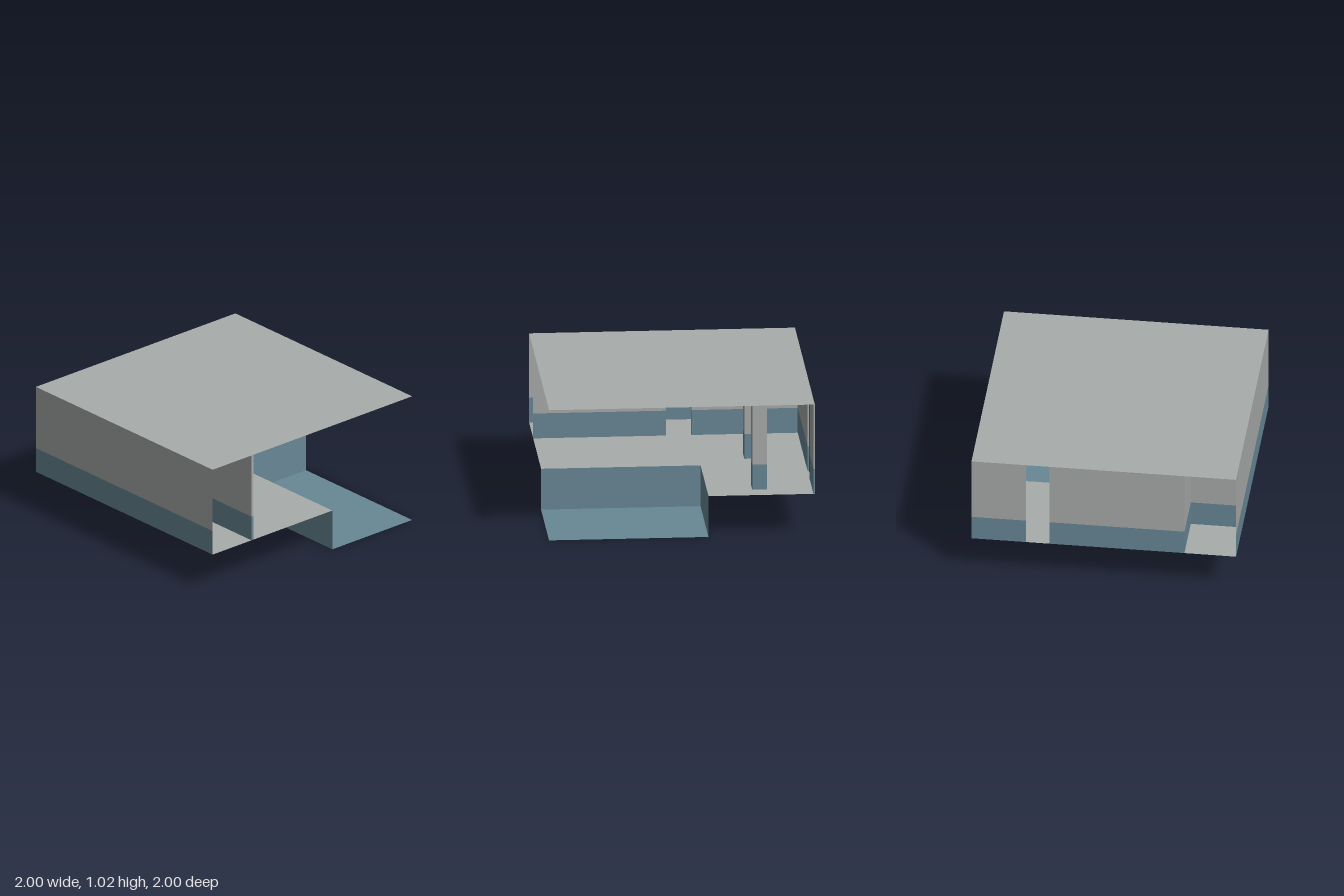
import * as THREE from 'three';

const FLOOR = 0.32, STRIPE = 0.515, CEILING = 1.02;

export function createModel() {
  const model = new THREE.Group();
  const plaster = new THREE.MeshStandardMaterial({ color: 0xa8acaa, side: THREE.DoubleSide });
  plaster.name = 'grey plaster';
  const paint = new THREE.MeshStandardMaterial({ color: 0x688896, side: THREE.DoubleSide });
  paint.name = 'blue paint';

  const add = (parent, name, geometry, material) => {
    const mesh = new THREE.Mesh(geometry, material);
    mesh.name = name;
    parent.add(mesh);
    return mesh;
  };

  // Upright box without its hidden top and bottom faces
  const sides = (x0, x1, y0, y1, z0, z1) => {
    const g = new THREE.BoxGeometry(x1 - x0, y1 - y0, z1 - z0);
    const index = Array.from(g.index.array);
    g.setIndex(index.filter((_, i) => i < 12 || i >= 24));
    g.clearGroups();
    return g.translate((x0 + x1) / 2, (y0 + y1) / 2, (z0 + z1) / 2);
  };

  // Wall or pillar: blue band below, grey above
  const banded = (name, x0, x1, z0, z1) => {
    const group = new THREE.Group();
    group.name = name;
    add(group, name + 'LowerBand', sides(x0, x1, FLOOR, STRIPE, z0, z1), paint);
    add(group, name + 'Upper', sides(x0, x1, STRIPE, CEILING, z0, z1), plaster);
    model.add(group);
  };

  // Horizontal sheet from an [x, z] outline, facing up
  const sheet = (name, outline, y, material) => {
    const shape = new THREE.Shape(outline.map(([x, z]) => new THREE.Vector2(x, -z)));
    add(model, name, new THREE.ShapeGeometry(shape).rotateX(-Math.PI / 2).translate(0, y, 0), material);
  };

  // Ceiling, notched floor and sunken floor
  sheet('ceiling', [[-1, 1], [1, 1], [1, -1], [-1, -1]], CEILING, plaster);
  sheet('floor', [[-1, 1], [0.2, 1], [0.2, -0.2], [1, -0.2], [1, -1], [-1, -1]], FLOOR, plaster);
  sheet('pitFloor', [[0.2, 1], [1, 1], [1, -0.2], [0.2, -0.2]], 0, paint);

  // Two walls of the pit, open at the front and outer side
  add(model, 'pitBackWall',
    new THREE.PlaneGeometry(0.8, FLOOR).translate(0.6, FLOOR / 2, -0.2), paint);
  add(model, 'pitSideWall',
    new THREE.PlaneGeometry(1.2, FLOOR).rotateY(Math.PI / 2).translate(0.2, FLOOR / 2, 0.4), paint);

  // Outer side wall
  for (const [name, y0, y1, material] of [
    ['sideWallLowerBand', FLOOR, STRIPE, paint],
    ['sideWallUpper', STRIPE, CEILING, plaster],
  ]) {
    add(model, name,
      new THREE.PlaneGeometry(2, y1 - y0).rotateY(-Math.PI / 2).translate(-1, (y0 + y1) / 2, 0), material);
  }

  // Back wall with a doorway
  banded('backWallMain', -0.61, 0.41, -1, -0.99);
  banded('backWallEnd', 0.59, 1, -1, -0.99);

  // Inner partition with a doorway, and the cross wall of the corridor
  banded('partitionFront', -0.61, -0.59, 0, 1);
  banded('partitionBack', -0.61, -0.59, -0.99, -0.19);
  banded('corridorCrossWall', -1, -0.61, -0.61, -0.59);

  // Pillars
  banded('middlePillar', -0.055, 0.055, -0.65, -0.54);
  banded('sidePillar', 0.735, 0.855, -0.65, -0.54);

  return model;
}
